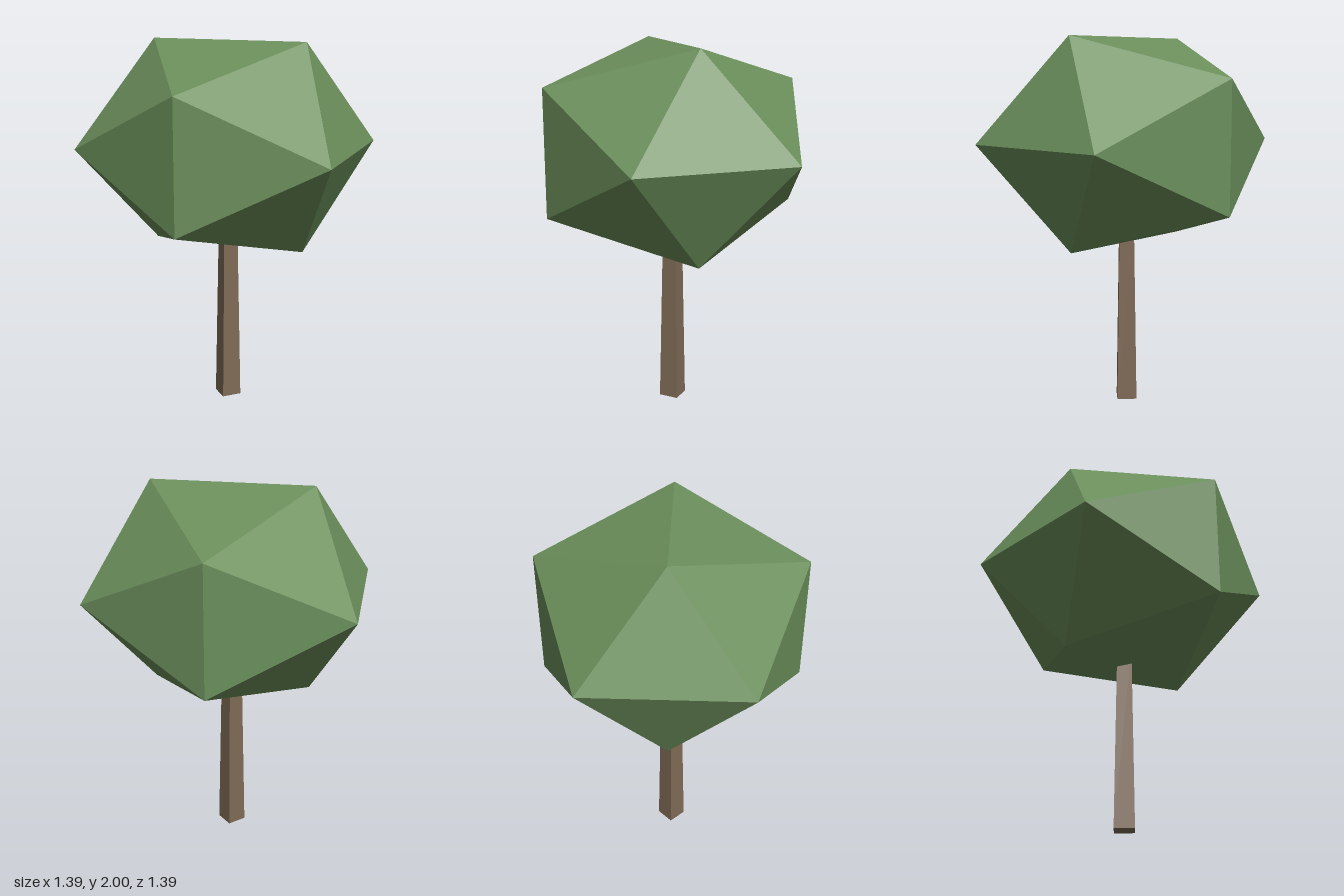
import * as THREE from 'three';

export function createModel() {
  const tree = new THREE.Group();
  tree.name = 'tree';

  const leafGreen = new THREE.MeshStandardMaterial({ color: 0x6b8f5b, flatShading: true });
  leafGreen.name = 'leaf green';
  const barkBrown = new THREE.MeshStandardMaterial({ color: 0x806b56, flatShading: true });
  barkBrown.name = 'bark brown';

  // Four-sided tapering trunk, its top hidden inside the crown
  const trunkHeight = 1.0;
  const trunk = new THREE.Mesh(new THREE.CylinderGeometry(0.055, 0.076, trunkHeight, 4), barkBrown);
  trunk.name = 'trunk';
  trunk.position.y = trunkHeight / 2;

  // Faceted crown, slightly flattened
  const crown = new THREE.Mesh(new THREE.IcosahedronGeometry(0.816, 0), leafGreen);
  crown.name = 'crown';
  crown.scale.y = 0.8;
  crown.position.y = 1.445;

  tree.add(trunk, crown);
  return tree;
}
